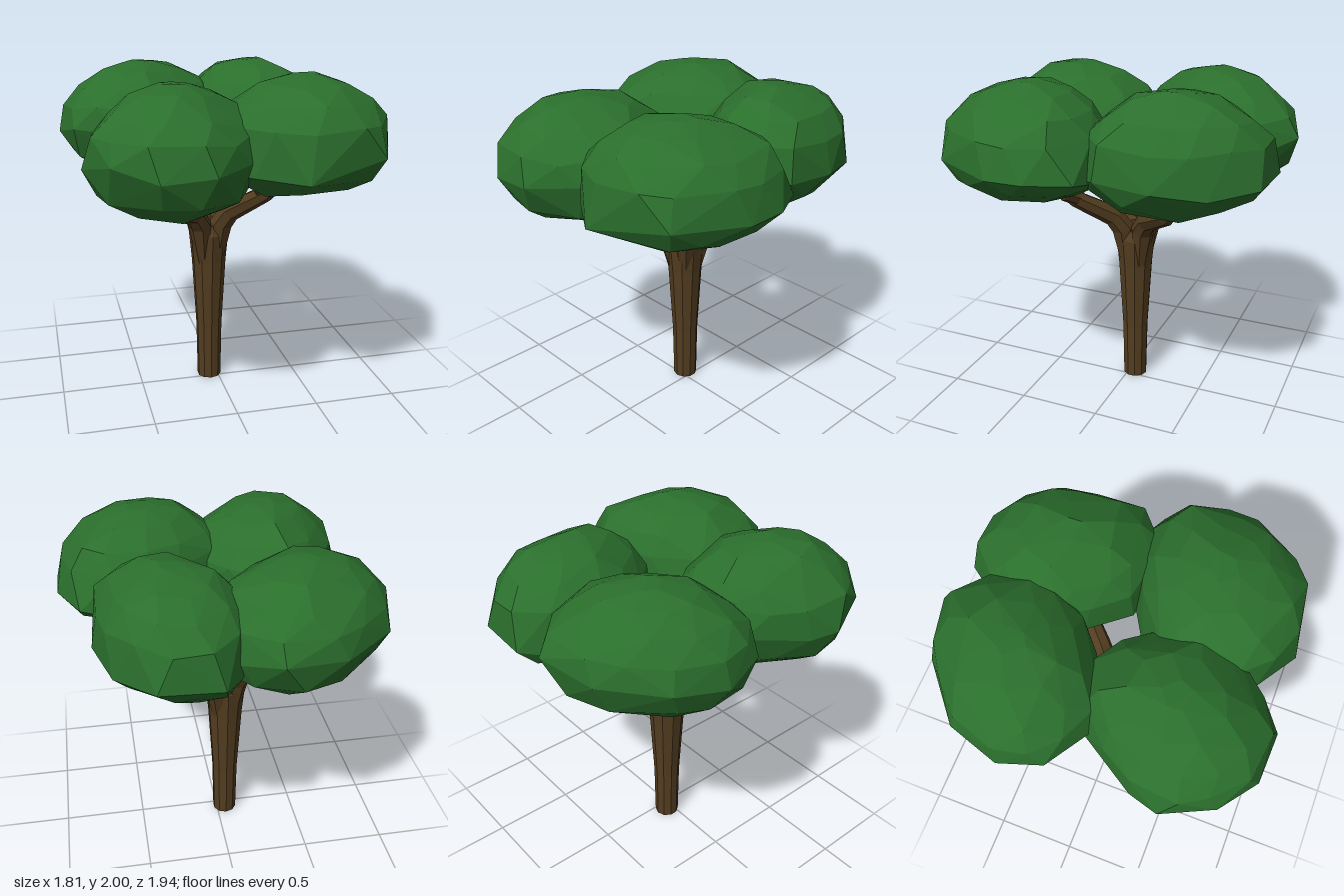
import * as THREE from 'three';
import { ConvexGeometry } from 'three/addons/geometries/ConvexGeometry.js';

const bark = new THREE.MeshStandardMaterial({ color: 0x533d20, flatShading: true });
const leaf = new THREE.MeshStandardMaterial({ color: 0x2b6f2d, flatShading: true });

function seeded(seed) {
  let s = seed;
  return () => (s = (s * 16807) % 2147483647) / 2147483647;
}

// Tapered, bent tube: rows of a cylinder are moved onto the path points
function limb(name, path, radii, sides) {
  const pts = path.map((p) => new THREE.Vector3(...p));
  const n = pts.length - 1;
  const geo = new THREE.CylinderGeometry(1, 1, 1, sides, n);
  const pos = geo.attributes.position;
  const up = new THREE.Vector3(0, 1, 0);
  const q = new THREE.Quaternion();
  const v = new THREE.Vector3();
  for (let i = 0; i < pos.count; i++) {
    const row = Math.round((pos.getY(i) + 0.5) * n);
    const dir = pts[Math.min(row + 1, n)].clone().sub(pts[Math.max(row - 1, 0)]).normalize();
    q.setFromUnitVectors(up, dir);
    v.set(pos.getX(i), 0, pos.getZ(i)).multiplyScalar(radii[row]).applyQuaternion(q).add(pts[row]);
    pos.setXYZ(i, v.x, v.y, v.z);
  }
  geo.computeVertexNormals();
  const mesh = new THREE.Mesh(geo, bark);
  mesh.name = name;
  return mesh;
}

// Faceted leaf mass: hull around scaled rings of a plan outline [x, z];
// belt is the relative height of the widest outline
function canopy(name, outline, bottom, top, belt, seed) {
  const rnd = seeded(seed);
  const curve = new THREE.CatmullRomCurve3(outline.map(([x, z]) => new THREE.Vector3(x, 0, z)), true);
  const c = new THREE.Box3().setFromPoints(curve.points).getCenter(new THREE.Vector3());
  const mid = (bottom + top) / 2, half = (top - bottom) / 2;
  // [height, scale, point count]
  const rings = [[-1, 0.32, 4], [-0.88, 0.64, 8], [-0.62, 0.87, 11], [0.28, 0.93, 13],
    [0.58, 0.76, 11], [0.84, 0.49, 9], [1, 0.17, 5]];
  const pts = [];
  for (const [h, s, n] of rings) {
    const phase = rnd();
    // Crown and underside lean towards the trunk
    const lean = 1 - 0.04 * Math.abs(h);
    for (let i = 0; i < n; i++) {
      const p = curve.getPointAt(((i + phase + rnd() * 0.4) / n) % 1).sub(c);
      p.multiplyScalar(s * (0.97 + rnd() * 0.06)).addScaledVector(c, lean);
      p.y = mid + half * (h + (Math.abs(h) === 1 ? -h * rnd() * 0.04 : (rnd() - 0.5) * 0.12));
      pts.push(p);
    }
  }
  // Widest outline
  for (const [x, z] of outline) pts.push(new THREE.Vector3(x, mid + half * (belt + (rnd() - 0.5) * 0.3), z));
  const mesh = new THREE.Mesh(new ConvexGeometry(pts), leaf);
  mesh.name = name;
  return mesh;
}

export function createModel() {
  const tree = new THREE.Group();
  tree.name = 'tree';
  const tx = -0.052, tz = -0.04;

  // Trunk, flaring towards the crotch
  tree.add(limb('trunk',
    [[tx, 0, tz], [tx, 0.36, tz], [tx, 0.8, tz], [tx, 0.98, tz], [tx, 1.04, tz]],
    [0.075, 0.081, 0.106, 0.123, 0.1], 10));

  // Four forked branches: [name, tip x, tip y, tip z]
  const branches = [
    ['frontLeftBranch', 0.35, 1.42, 0.34],
    ['frontRightBranch', -0.48, 1.36, 0.42],
    ['backRightBranch', -0.4, 1.4, -0.42],
    ['backLeftBranch', 0.39, 1.4, -0.48],
  ];
  for (const [name, x, y, z] of branches) {
    const at = (t, h) => [tx + (x - tx) * t, h, tz + (z - tz) * t];
    const g = new THREE.Group();
    g.name = name;
    g.add(limb('bough',
      [at(0.1, 0.8), at(0.16, 1.05), at(0.28, 1.14), at(0.7, y - 0.14), at(1, y)],
      [0.04, 0.072, 0.065, 0.05, 0.03], 7));
    // Side twigs leaving the bough
    const [fx, fy, fz] = at(0.66, y - 0.15);
    const dx = (x - tx) * 0.25, dz = (z - tz) * 0.25;
    g.add(limb('upperTwig',
      [[fx, fy, fz], [fx - dz * 0.4, fy + 0.09, fz + dx * 0.4], [fx - dz * 0.5, fy + 0.22, fz + dx * 0.5]],
      [0.04, 0.034, 0.024], 6));
    g.add(limb('outerTwig',
      [[fx, fy, fz], [fx + dx * 0.8 + dz * 0.4, fy + 0.06, fz + dz * 0.8 - dx * 0.4],
        [fx + dx * 1.1 + dz * 0.6, fy + 0.18, fz + dz * 1.1 - dx * 0.6]],
      [0.04, 0.034, 0.024], 6));
    tree.add(g);
  }

  // Four leaf masses, overlapping one another along the middle
  tree.add(canopy('backRightCanopy', [[-0.91, -0.35], [-0.82, -0.64], [-0.52, -0.89], [-0.18, -0.97],
    [0.01, -0.8], [0.11, -0.6], [0.1, -0.38], [-0.03, -0.2], [-0.18, -0.07], [-0.4, 0.05],
    [-0.6, 0.05], [-0.84, -0.1]], 1.35, 2, -0.15, 11));
  tree.add(canopy('backLeftCanopy', [[0.1, -0.94], [0.44, -0.92], [0.64, -0.7], [0.73, -0.42],
    [0.71, -0.1], [0.57, 0.04], [0.36, 0.07], [0.16, 0.01], [-0.03, -0.2], [-0.12, -0.38],
    [-0.11, -0.6], [0, -0.8]], 1.34, 2, -0.4, 29));
  tree.add(canopy('frontRightCanopy', [[-0.85, 0.52], [-0.73, 0.8], [-0.51, 0.96], [-0.23, 0.97],
    [0, 0.76], [0.1, 0.6], [0.13, 0.4], [0.02, 0.12], [-0.18, -0.07], [-0.4, -0.09],
    [-0.6, 0.02], [-0.8, 0.35]], 1.28, 1.98, -0.1, 47));
  tree.add(canopy('frontLeftCanopy', [[0.25, 0.94], [0.72, 0.8], [0.9, 0.42], [0.9, 0.2], [0.78, -0.03],
    [0.6, -0.07], [0.4, -0.07], [0.18, 0.02], [0.01, 0.12], [-0.12, 0.35], [-0.12, 0.6],
    [0, 0.78]], 1.36, 2, -0.42, 83));
  return tree;
}
